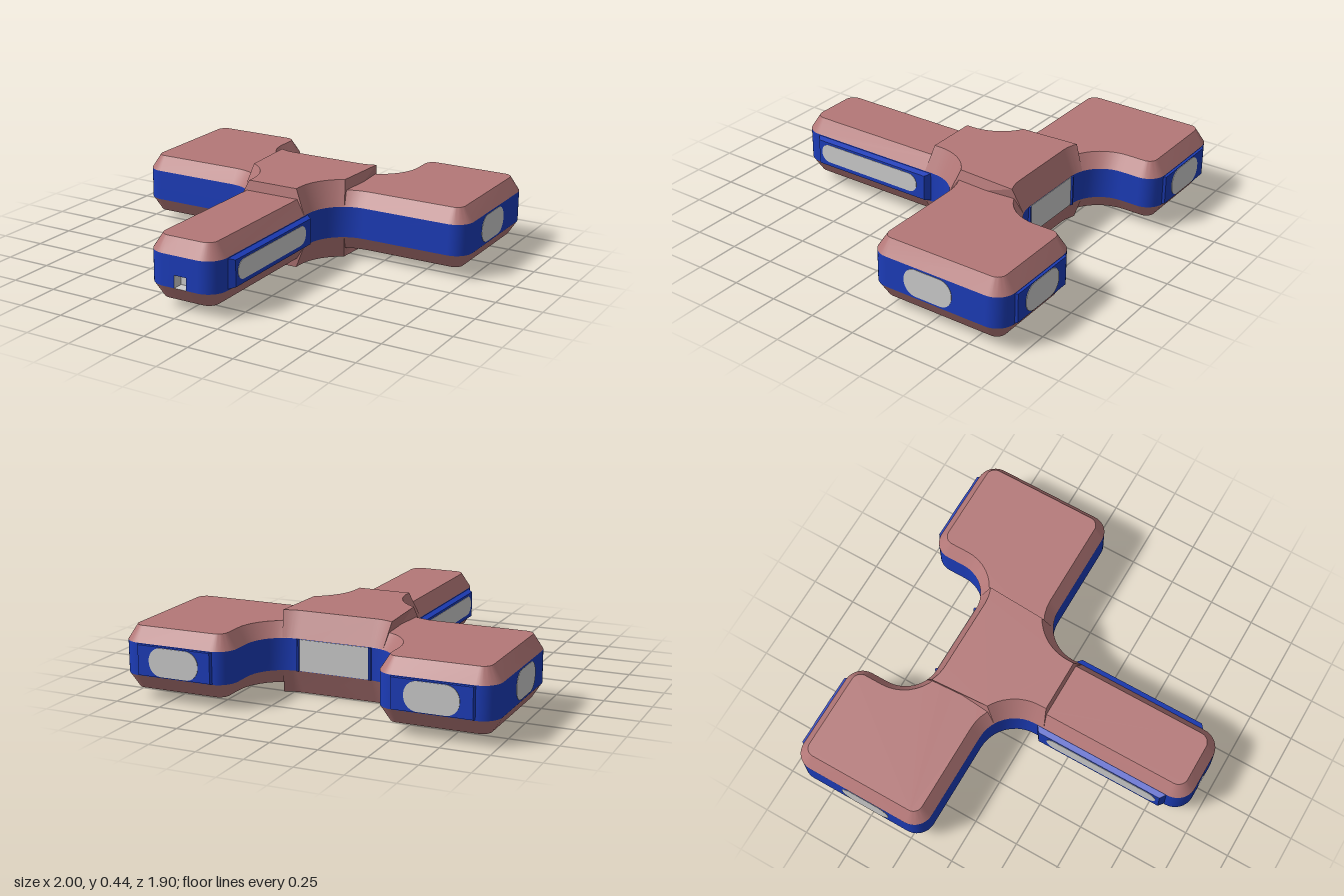
import * as THREE from 'three';
import { toCreasedNormals } from 'three/addons/utils/BufferGeometryUtils.js';

const MID = 0.2175; // height of the horizontal symmetry plane
const BAND = 0.085, CAP = 0.163, HUB = 0.2175; // half heights
const pink = new THREE.MeshStandardMaterial({ color: 0xb47878 });
const blue = new THREE.MeshStandardMaterial({ color: 0x1c3cb8 });
const grey = new THREE.MeshStandardMaterial({ color: 0xcccccc });
const greyInside = new THREE.MeshStandardMaterial({ color: 0xcccccc, side: THREE.BackSide });

// Arc of outline points, each with its inward normal
function arc(cx, cz, r, from, to, concave = false) {
  const points = [], n = 10, s = concave ? 1 : -1;
  for (let i = 0; i <= n; i++) {
    const a = THREE.MathUtils.degToRad(from + (to - from) * i / n);
    const c = Math.cos(a), d = Math.sin(a);
    points.push({ x: cx + r * c, z: cz + r * d, nx: s * c, nz: s * d });
  }
  return points;
}

// Completes the right half of an outline with its mirror image
const mirrored = (half) => [...half, ...half.map((p) => ({ ...p, x: -p.x, nx: -p.nx })).reverse()];

// Walls between inset copies of an outline, listed from low to high, with optional caps
function loft(outline, rings, { top, bottom, skip } = {}) {
  const n = outline.length, pos = [];
  const at = (k, i) => {
    const p = outline[i % n], [inset, y] = rings[k];
    return [p.x + p.nx * inset, y, p.z + p.nz * inset];
  };
  for (let k = 0; k < rings.length - 1; k++) {
    for (let i = 0; i < n; i++) {
      if (skip && skip(k, i)) continue;
      const a = at(k, i), b = at(k, i + 1), c = at(k + 1, i + 1), d = at(k + 1, i);
      pos.push(...a, ...b, ...c, ...a, ...c, ...d);
    }
  }
  const cap = (k, up) => {
    const flat = outline.map((_, i) => { const p = at(k, i); return new THREE.Vector2(p[0], -p[2]); });
    for (const [a, b, c] of THREE.ShapeUtils.triangulateShape(flat, [])) {
      for (const i of up ? [a, b, c] : [a, c, b]) pos.push(...at(k, i));
    }
  };
  if (top) cap(rings.length - 1, true);
  if (bottom) cap(0, false);
  const g = new THREE.BufferGeometry();
  g.setAttribute('position', new THREE.Float32BufferAttribute(pos, 3));
  return toCreasedNormals(g, 0.4);
}

// Flat pad facing +z whose front face is smaller than its base
function padGeometry(w, h, depth, taperX, taperY) {
  const g = new THREE.BoxGeometry(w, h, depth).toNonIndexed();
  const p = g.attributes.position;
  for (let i = 0; i < p.count; i++) {
    if (p.getZ(i) > 0) {
      p.setX(i, p.getX(i) - Math.sign(p.getX(i)) * taperX);
      p.setY(i, p.getY(i) - Math.sign(p.getY(i)) * taperY);
    }
  }
  g.computeVertexNormals();
  return g;
}

// Thin plate with rounded ends, facing +z
function inlayGeometry(w, h, r) {
  const s = new THREE.Shape(), x = w / 2 - r, y = h / 2 - r;
  s.absarc(x, y, r, 0, Math.PI / 2);
  s.absarc(-x, y, r, Math.PI / 2, Math.PI);
  s.absarc(-x, -y, r, Math.PI, Math.PI * 1.5);
  s.absarc(x, -y, r, Math.PI * 1.5, Math.PI * 2);
  return new THREE.ExtrudeGeometry(s, { depth: 0.006, bevelEnabled: false, curveSegments: 10 });
}

export function createModel() {
  const model = new THREE.Group();
  const add = (name, geometry, material, x = 0, y = 0, z = 0, turn = 0) => {
    const mesh = new THREE.Mesh(geometry, material);
    mesh.name = name;
    mesh.position.set(x, y, z);
    mesh.rotation.y = turn;
    model.add(mesh);
  };

  // T-shaped outline: handle, fillet, wing, rear notch
  const body = mirrored([
    { x: 0.035, z: 0.945, nx: 0, nz: -1 },
    ...arc(0.1, 0.84, 0.105, 90, 0),
    ...arc(0.415, 0.05, 0.21, 180, 270, true),
    ...arc(0.9, -0.26, 0.1, 90, 0),
    ...arc(0.9, -0.84, 0.1, 0, -90),
    ...arc(0.49, -0.84, 0.1, -90, -180),
    ...arc(0.2, -0.74, 0.19, 0, 90, true),
  ]);
  // Raised centre, following the fillets and cut off across each wing
  const hub = mirrored([
    { x: 0.205, z: 0.105, nx: -1, nz: -0.35 },
    ...arc(0.415, 0.05, 0.21, 180, 241, true),
    ...arc(0.2, -0.74, 0.19, 66, 90, true),
  ]);

  // Middle band, with an opening in the handle's front end
  add('middleBand', loft(body, [[0, MID - BAND], [0, 0.2], [0, MID + BAND]],
    { skip: (k, i) => k === 0 && i === body.length - 1 }), blue);
  add('frontSocket', new THREE.BoxGeometry(0.07, 0.0675, 0.06), greyInside, 0, 0.16625, 0.915);

  // Chamfered covers and raised hubs
  add('topCover', loft(body, [[0, MID + BAND], [0.05, MID + CAP]], { top: true }), pink);
  add('bottomCover', loft(body, [[0.05, MID - CAP], [0, MID - BAND]], { bottom: true }), pink);
  add('topHub', loft(hub, [[0, MID + BAND], [0.06, MID + HUB]], { top: true }), pink);
  add('bottomHub', loft(hub, [[0.06, MID - HUB], [0, MID - BAND]], { bottom: true }), pink);

  // Pads and inlays on both sides
  for (const s of [1, -1]) {
    const side = s > 0 ? 'left' : 'right', turn = s * Math.PI / 2;
    add(side + 'HandlePad', padGeometry(0.78, 0.165, 0.04, 0.03, 0.012), blue, s * 0.215, MID, 0.45, turn);
    add(side + 'HandleInlay', inlayGeometry(0.65, 0.105, 0.052), grey, s * 0.231, MID + 0.005, 0.465, turn);
    add(side + 'WingInlay', inlayGeometry(0.28, 0.15, 0.07), grey, s * 0.996, MID, -0.51, turn);
    add(side + 'RearPad', padGeometry(0.44, 0.168, 0.03, 0.015, 0.005), blue, s * 0.69, MID, -0.938, Math.PI);
    add(side + 'RearInlay', inlayGeometry(0.28, 0.15, 0.07), grey, s * 0.69, MID, -0.95, Math.PI);
    add(side + 'RearRib', padGeometry(0.03, 0.168, 0.03, 0.01, 0), blue, s * 0.2, MID, -0.546, Math.PI);
  }
  add('rearPanel', new THREE.BoxGeometry(0.38, 0.166, 0.02), grey, 0, MID, -0.543);

  return model;
}
